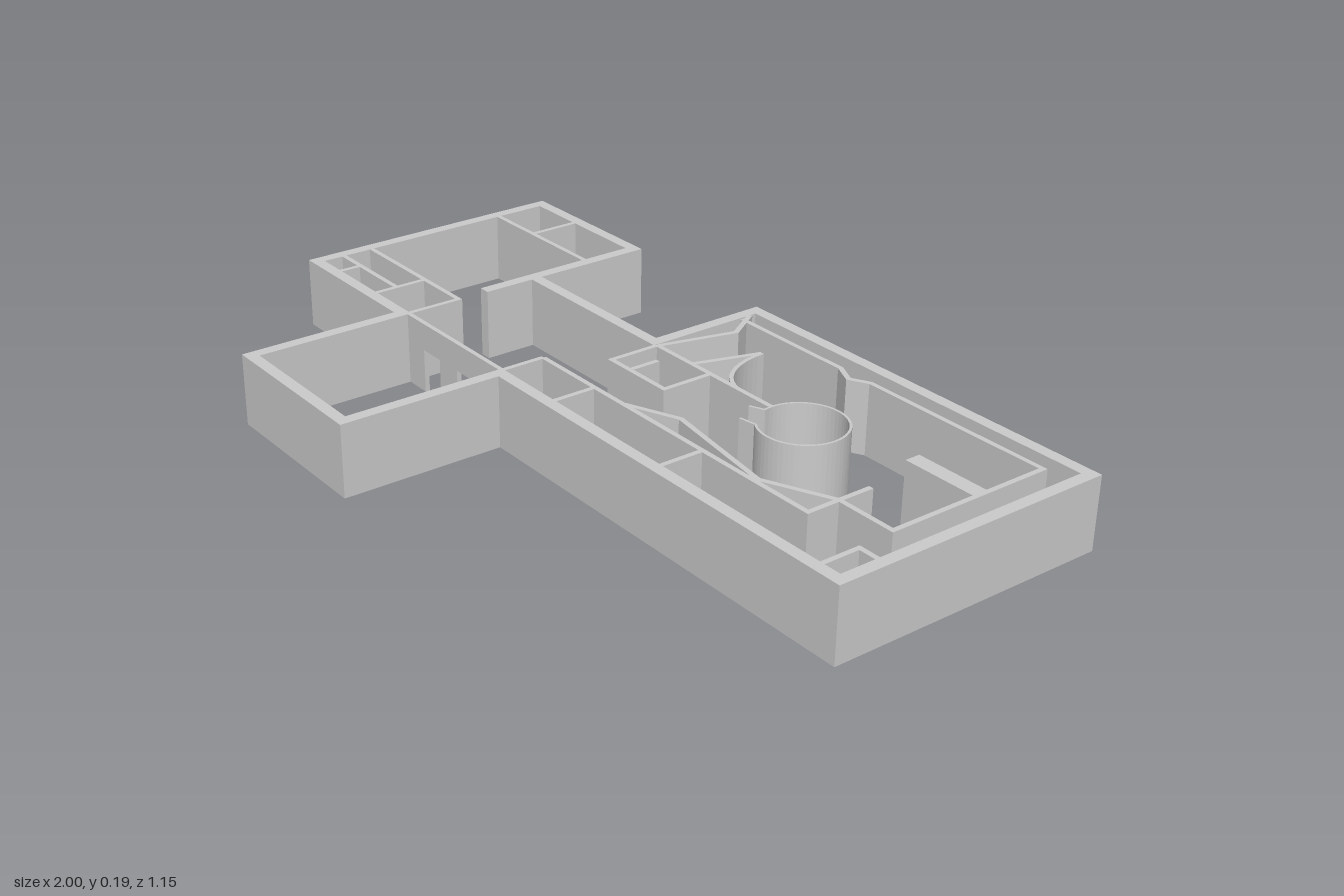
import * as THREE from 'three';

const BASE = 0.004, TOP = 0.185, DOOR = 0.115;
const material = new THREE.MeshStandardMaterial({ color: 0xcccccc, flatShading: true });

export function createModel() {
  const model = new THREE.Group();
  model.name = 'floorPlan';

  const add = (name, geometry) => {
    const mesh = new THREE.Mesh(geometry, material);
    mesh.name = name;
    model.add(mesh);
    return mesh;
  };

  // Wall following a plan path of [x, z] points, with mitred corners
  function wall(name, points, thickness = 0.013, y0 = BASE, y1 = TOP) {
    const p = points.map(([x, z]) => new THREE.Vector2(x, -z));
    const left = [], right = [];
    p.forEach((c, i) => {
      const a = c.clone().sub(p[i - 1] ?? c).normalize();
      const b = (p[i + 1] ?? c).clone().sub(c).normalize();
      if (i === 0) a.copy(b);
      if (i === p.length - 1) b.copy(a);
      const na = new THREE.Vector2(-a.y, a.x);
      const n = new THREE.Vector2(-b.y, b.x).add(na).normalize();
      n.multiplyScalar(thickness / 2 / Math.max(n.dot(na), 0.35));
      left.push(c.clone().add(n));
      right.unshift(c.clone().sub(n));
    });
    const g = new THREE.ExtrudeGeometry(new THREE.Shape([...left, ...right]),
      { depth: y1 - y0, bevelEnabled: false });
    g.rotateX(-Math.PI / 2).translate(0, y0, 0);
    return add(name, g);
  }

  function box(name, x0, x1, y0, y1, z0, z1) {
    const g = new THREE.BoxGeometry(x1 - x0, y1 - y0, z1 - z0);
    add(name, g.translate((x0 + x1) / 2, (y0 + y1) / 2, (z0 + z1) / 2));
  }

  // Points on an elliptical arc in plan, angles in degrees
  const arc = (cx, cz, rx, rz, from, to, n) => Array.from({ length: n + 1 }, (_, i) => {
    const t = THREE.MathUtils.degToRad(from + (to - from) * i / n);
    return [cx + rx * Math.cos(t), cz + rz * Math.sin(t)];
  });

  // Thick outer walls
  wall('outerWall', [
    [-0.565, -0.09], [-0.565, -0.56], [-0.985, -0.56], [-0.985, 0.148], [-0.565, 0.148],
    [-0.565, 0.56], [-0.143, 0.56], [-0.143, 0.148], [0.985, 0.148], [0.985, -0.553],
    [-0.067, -0.553], [-0.067, -0.24], [-0.565, -0.24],
  ], 0.03);

  // Thin partitions of the west wing
  [
    [[-0.97, -0.41], [-0.57, -0.41]],
    [[-0.81, -0.55], [-0.81, -0.41]],
    [[-0.97, -0.008], [-0.556, -0.008], [-0.556, 0.14]],
    [[-0.712, -0.008], [-0.712, 0.14]],
    [[-0.97, 0.075], [-0.712, 0.075]],
    [[-0.888, 0.075], [-0.888, 0.14]],
  ].forEach(path => wall('westPartition', path));

  // Hall wall with two doorways
  const piers = [[-0.56, -0.48], [-0.41, -0.335], [-0.26, -0.15]];
  piers.forEach(([a, b]) => box('hallWallPier', a, b, BASE, DOOR, 0.131, 0.143));
  box('hallWallLintel', -0.56, -0.15, DOOR, TOP, 0.131, 0.143);
  [[-0.48, -0.41], [-0.335, -0.26]].forEach(([a, b]) =>
    box('doorThreshold', a, b, 0, BASE, 0.131, 0.137));

  // Gallery lining with folded niches
  wall('galleryLining', [
    [-0.045, -0.491], [0.3, -0.491], [0.353, -0.466], [0.4, -0.491],
    [0.91, -0.491], [0.91, -0.062], [0.75, -0.062],
  ]);
  wall('foldedWall', [[-0.052, -0.52], [0.004, -0.43], [-0.045, -0.235]]);
  wall('zigzagWall', [[0.155, 0.02], [0.285, -0.035], [0.595, 0.012], [0.757, -0.062]]);
  wall('galleryEndWall', [[0.757, -0.15], [0.757, 0.022], [-0.15, 0.022]]);
  box('displayBlock', 0.713, 0.91, BASE, TOP, -0.33, -0.29);

  // Centre partitions, wedge with a curved side
  wall('centreWall', [[-0.05, -0.232], [0.358, -0.232]]);
  wall('wedgeWall', [[0.08, -0.232], [0.131, -0.4]]);
  wall('curvedWall', arc(0.255, -0.4, 0.122, 0.168, 180, 90, 14), 0.01);
  wall('closetWall', [[-0.048, -0.23], [-0.048, -0.098], [0.147, -0.098], [0.147, -0.232]]);
  wall('closetDivider', [[0.02, -0.18], [0.02, -0.098]]);

  // Round room with two flared door jambs
  wall('roundRoom', [
    [0.325, -0.195], ...arc(0.46, -0.232, 0.103, 0.103, 168, 484.5, 48), [0.358, -0.14],
  ], 0.006);

  // Service rooms along the south side
  wall('serviceEndWall', [[-0.152, 0.022], [-0.152, 0.075]]);
  wall('serviceLintel', [[-0.152, 0.075], [-0.152, 0.14]], 0.013, DOOR, TOP);
  [0.048, 0.428].forEach(x => wall('servicePartition', [[x, 0.022], [x, 0.14]]));
  wall('cornerCloset', [[0.97, 0.037], [0.92, 0.037], [0.92, 0.14]]);

  // Washroom stalls and fixtures
  [-0.09, -0.023].forEach(x => box('stallDivider', x - 0.001, x + 0.001, 0.015, 0.1, 0.063, 0.133));
  [[-0.09, -0.075], [-0.058, -0.04], [-0.023, -0.008], [0.01, 0.04]].forEach(([a, b]) =>
    box('stallFront', a, b, 0.015, 0.1, 0.062, 0.065));
  [-0.058, 0.01].forEach(x => {
    const bowl = add('toiletBowl', new THREE.CylinderGeometry(0.012, 0.008, 0.03, 12));
    bowl.position.set(x, BASE + 0.015, 0.107);
    bowl.scale.z = 1.3;
    box('toiletTank', x - 0.013, x + 0.013, BASE, 0.05, 0.12, 0.134);
  });
  const basin = add('washBasin', new THREE.CylinderGeometry(0.012, 0.006, 0.02, 12));
  basin.position.set(-0.115, 0.05, 0.124);

  return model;
}
